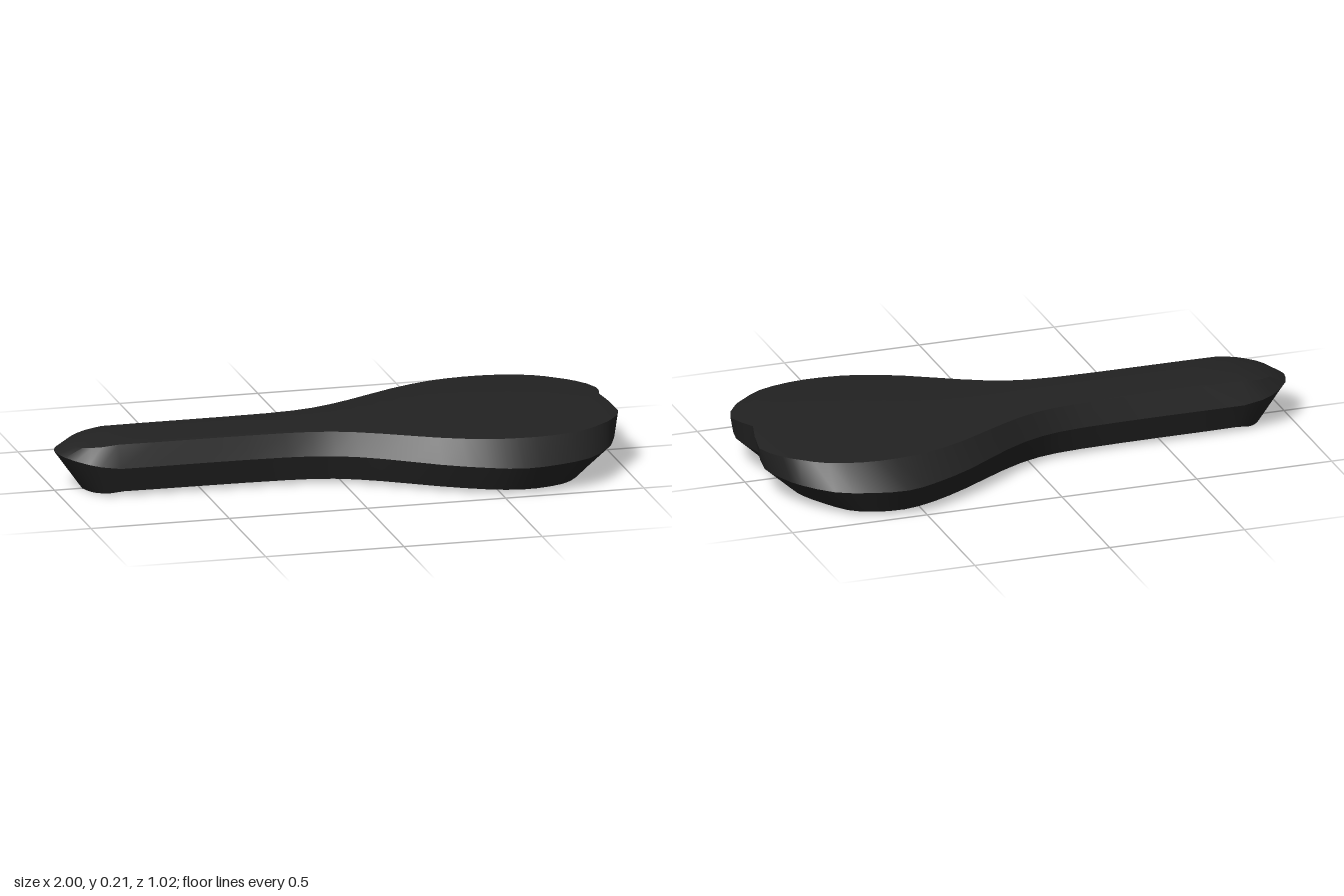
import * as THREE from 'three';
import { toCreasedNormals } from 'three/addons/utils/BufferGeometryUtils.js';

// Half outlines in plan, nose to tail, as [x, z]; matching points lie on the same rib
const RIM = [[-1, 0], [-0.98, 0.07], [-0.91, 0.135], [-0.8, 0.153], [-0.5, 0.153], [-0.2, 0.16],
  [-0.03, 0.19], [0.12, 0.265], [0.3, 0.39], [0.45, 0.47], [0.57, 0.51], [0.7, 0.49],
  [0.82, 0.44], [0.91, 0.34], [0.95, 0.26], [0.98, 0.15], [0.95, 0]];
const TOP = [[-0.96, 0], [-0.94, 0.055], [-0.89, 0.1], [-0.8, 0.122], [-0.5, 0.125], [-0.2, 0.13],
  [-0.03, 0.155], [0.12, 0.22], [0.3, 0.32], [0.45, 0.38], [0.58, 0.4], [0.7, 0.395],
  [0.82, 0.36], [0.9, 0.3], [0.95, 0.25], [1, 0.15], [0.97, 0]];
const BASE = [[-0.9, 0], [-0.885, 0.055], [-0.85, 0.105], [-0.78, 0.125], [-0.5, 0.128], [-0.2, 0.135],
  [-0.03, 0.16], [0.12, 0.23], [0.3, 0.345], [0.45, 0.425], [0.57, 0.46], [0.68, 0.445],
  [0.76, 0.4], [0.82, 0.31], [0.86, 0.23], [0.88, 0.14], [0.87, 0]];

const STEPS = (RIM.length - 1) * 2;

// Smooth outline whose height follows a rule of x and z
function outline(points, height) {
  const curve = new THREE.SplineCurve(points.map(([x, z]) => new THREE.Vector2(x, z)));
  return Array.from({ length: STEPS + 1 }, (_, i) => {
    const p = curve.getPoint(i / STEPS);
    const x = Math.min(p.x, 1);
    const z = Math.max(p.y, 0);
    return new THREE.Vector3(x, height(x, z), z);
  });
}

// 0 behind the nose, rising to 1 at its tip
const nose = (x, start, end) => THREE.MathUtils.clamp((start - x) / (start - end), 0, 1);

function shellGeometry() {
  const crestY = (x) => 0.207 - 0.042 * nose(x, -0.78, -0.96) ** 1.5;
  const top = outline(TOP, (x, z) => {
    const edge = 0.185 - 0.02 * nose(x, -0.8, -0.96);
    // the tail edge climbs to the crest inside the notch
    return x > 0.9 && z < 0.15 ? THREE.MathUtils.lerp(crestY(x), edge, z / 0.15) : edge;
  });
  const rim = outline(RIM, (x) => 0.105 + 0.035 * nose(x, -0.82, -1));
  const base = outline(BASE, (x) => 0.015 - 0.015 * nose(x, -0.78, -0.9));
  const crest = top.map((p) => new THREE.Vector3(Math.min(p.x, 0.97), crestY(p.x), 0));
  const chamfer = base.map((p, i) => p.clone().lerp(rim[i], 0.24));
  const keel = base.map((p) => new THREE.Vector3(Math.min(p.x, 0.87), p.y, 0));
  const rows = [crest, top, rim, chamfer, base, keel];

  const positions = [];
  const triangle = (a, b, c) => {
    const area = b.clone().sub(a).cross(c.clone().sub(a)).length();
    if (area < 1e-7) return;
    for (const p of [a, b, c]) positions.push(p.x, p.y, p.z);
    // mirrored half, with the corners in reverse
    for (const p of [c, b, a]) positions.push(p.x, p.y, -p.z);
  };
  for (let j = 0; j < rows.length - 1; j++) {
    for (let i = 0; i < STEPS; i++) {
      const a = rows[j][i], b = rows[j][i + 1];
      const c = rows[j + 1][i], d = rows[j + 1][i + 1];
      triangle(a, c, b);
      triangle(b, c, d);
    }
  }
  const geometry = new THREE.BufferGeometry();
  geometry.setAttribute('position', new THREE.Float32BufferAttribute(positions, 3));
  return toCreasedNormals(geometry, 0.5);
}

export function createModel() {
  const group = new THREE.Group();
  group.name = 'saddle';
  const shell = new THREE.Mesh(shellGeometry(), new THREE.MeshStandardMaterial({ color: 0x222222 }));
  shell.name = 'saddleShell';
  group.add(shell);
  return group;
}
